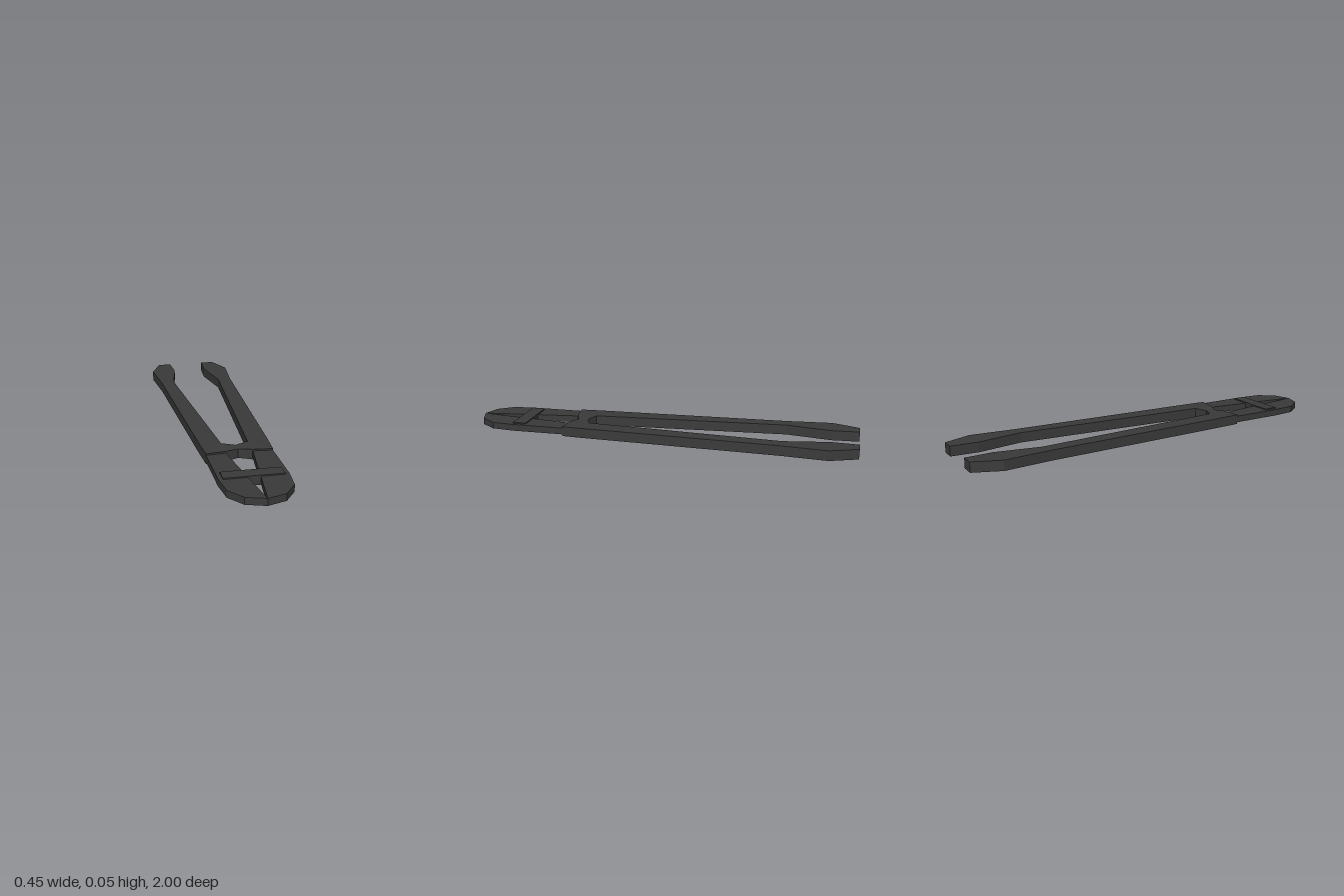
import * as THREE from 'three';

const material = new THREE.MeshStandardMaterial({ color: 0x3a3a3a, flatShading: true });

// Plan outlines of the +x half as [x, z]
const HANDLE = [
  [0.1, -1], [0.17, -1], [0.226, -0.86], [0.205, -0.62], [0.167, 0.38], [0.16, 0.5],
  [0.065, 0.49], [0, 0.465], [0, 0.412], [0.065, 0.385], [0.133, -0.63], [0.092, -0.86],
];
const JAW = [
  [0.065, 0.485], [0.16, 0.485], [0.16, 0.77], [0.148, 0.89], [0.09, 0.97], [0, 1],
  [0.028, 0.78], [0.037, 0.71],
];

// Flat plate from a plan outline, standing between two heights
function plate(points, bottom, top, side) {
  const shape = new THREE.Shape(points.map(([x, z]) => new THREE.Vector2(x * side, z)));
  const geometry = new THREE.ExtrudeGeometry(shape, { depth: top - bottom, bevelEnabled: false });
  geometry.rotateX(Math.PI / 2).translate(0, top, 0);
  return geometry;
}

function addMesh(group, name, geometry) {
  const mesh = new THREE.Mesh(geometry, material);
  mesh.name = name;
  group.add(mesh);
}

export function createModel() {
  const group = new THREE.Group();
  group.name = 'boltCutter';

  for (const [label, side] of [['left', 1], ['right', -1]]) {
    // Handle, thinned slightly where the halves meet at the pivot
    const handle = plate(HANDLE, 0, 0.051, side);
    const pos = handle.attributes.position;
    for (let i = 0; i < pos.count; i++) {
      if (Math.abs(pos.getX(i)) < 0.001) pos.setY(i, pos.getY(i) > 0.025 ? 0.048 : 0.003);
    }
    handle.computeVertexNormals();
    addMesh(group, label + 'Handle', handle);

    // Cutting jaw
    addMesh(group, label + 'Jaw', plate(JAW, 0.009, 0.043, side));
  }

  // Strap linking the jaws
  const strap = new THREE.BoxGeometry(0.28, 0.046, 0.07);
  strap.translate(0, 0.026, 0.745);
  addMesh(group, 'jawStrap', strap);

  return group;
}
